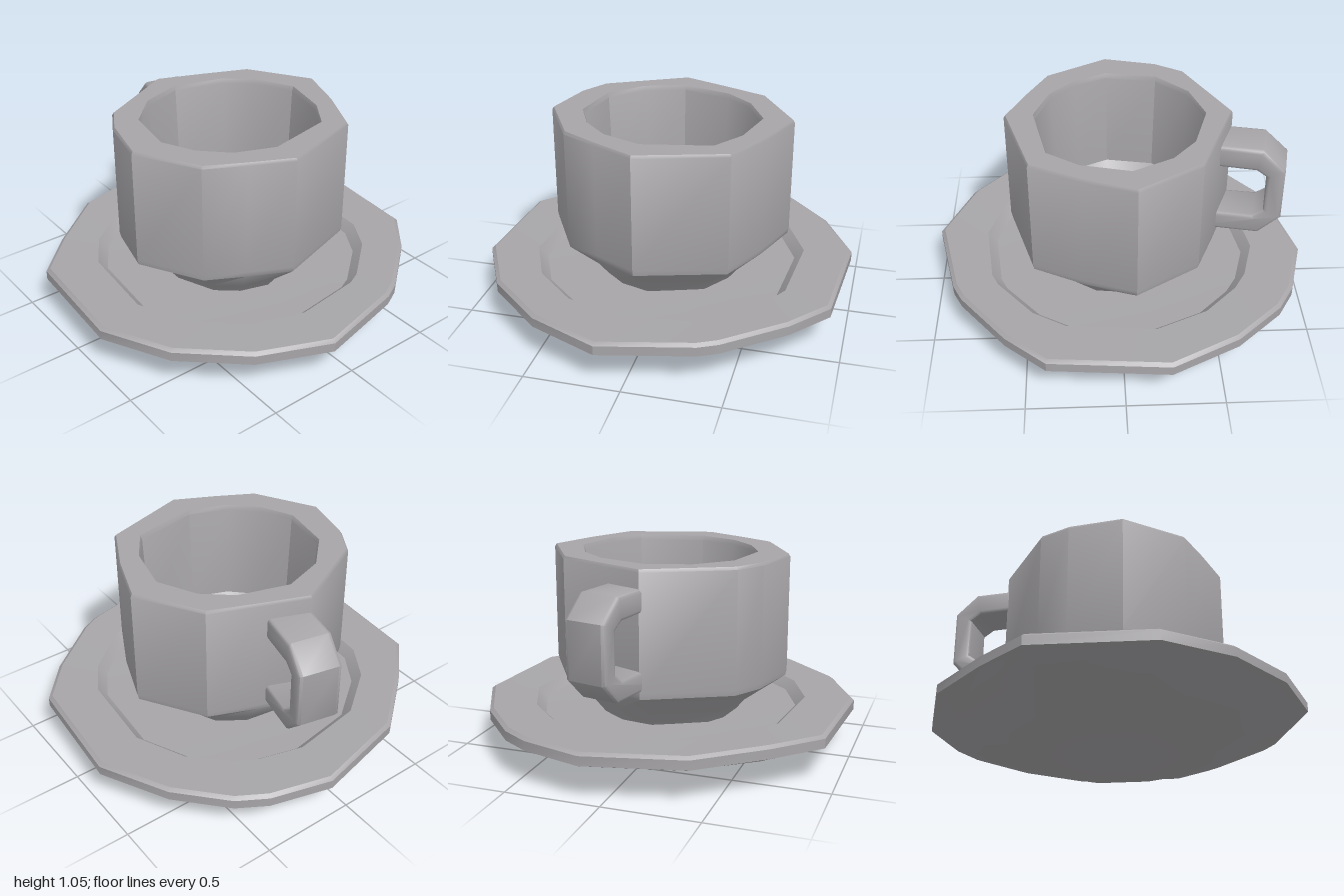
import * as THREE from 'three';
import { toCreasedNormals } from 'three/addons/utils/BufferGeometryUtils.js';

// Irregular outlines as [x, z], seen from above
const SAUCER = [[0.11, -1], [0.43, -0.91], [0.58, -0.82], [0.8, -0.58], [0.98, -0.23], [0.93, 0.39],
  [0.75, 0.6], [0.45, 0.84], [0.35, 0.89], [-0.13, 1], [-0.5, 0.84], [-0.8, 0.57],
  [-0.98, 0.22], [-0.94, -0.4], [-0.72, -0.62], [-0.4, -0.88]];
const CUP_OUTER = [[-0.05, -0.6], [0.2, -0.5], [0.435, -0.4], [0.64, -0.07], [0.54, 0.2], [0.41, 0.455],
  [-0.05, 0.59], [-0.27, 0.48], [-0.46, 0.375], [-0.64, 0.05], [-0.57, -0.23], [-0.48, -0.38]];
const CUP_INNER = [[-0.03, -0.45], [0.23, -0.37], [0.37, -0.25], [0.47, -0.05], [0.41, 0.2], [0.3, 0.36],
  [-0.05, 0.43], [-0.25, 0.35], [-0.38, 0.22], [-0.46, 0.05], [-0.41, -0.22], [-0.25, -0.38]];

// A ring at height y: the outline scaled, or the outline's angles on a circle
const scaled = (outline, s, y) => outline.map(([x, z]) => new THREE.Vector3(x * s, y, z * s));
const round = (outline, r, y) => outline.map(([x, z]) => {
  const k = r / Math.hypot(x, z);
  return new THREE.Vector3(x * k, y, z * k);
});

// Skin a list of rings, from the bottom centre round to the top centre
function loft(rings, crease) {
  const positions = [];
  const triangle = (a, b, c) => {
    if (a.equals(b) || b.equals(c) || a.equals(c)) return;
    for (const p of [a, b, c]) positions.push(p.x, p.y, p.z);
  };
  for (let j = 0; j < rings.length - 1; j++) {
    const a = rings[j], b = rings[j + 1];
    for (let i = 0; i < a.length; i++) {
      const n = (i + 1) % a.length;
      triangle(a[i], b[i], a[n]);
      triangle(a[n], b[i], b[n]);
    }
  }
  const geometry = new THREE.BufferGeometry();
  geometry.setAttribute('position', new THREE.Float32BufferAttribute(positions, 3));
  return toCreasedNormals(geometry, crease);
}

export function createModel() {
  const model = new THREE.Group();
  model.name = 'cupAndSaucer';
  const clay = new THREE.MeshStandardMaterial({ color: 0xa7a5a8 });
  clay.name = 'grey clay';

  const add = (name, geometry) => {
    const mesh = new THREE.Mesh(geometry, clay);
    mesh.name = name;
    model.add(mesh);
    return mesh;
  };

  // Saucer: flat foot, sloped underside, thick rim and a shallow well
  add('saucer', loft([
    scaled(SAUCER, 0, 0),
    round(SAUCER, 0.46, 0),
    round(SAUCER, 0.87, 0.15),
    scaled(SAUCER, 0.94, 0.165),
    scaled(SAUCER, 1, 0.19),
    scaled(SAUCER, 1, 0.24),
    scaled(SAUCER, 0.98, 0.255),
    round(SAUCER, 0.74, 0.25),
    round(SAUCER, 0.69, 0.2),
    scaled(SAUCER, 0, 0.18),
  ], 0.6));

  // Cup: tapered base, faceted wall, broad lip and hollow inside
  add('cup', loft([
    scaled(CUP_OUTER, 0, 0.17),
    round(CUP_OUTER, 0.36, 0.17),
    round(CUP_OUTER, 0.43, 0.26),
    scaled(CUP_OUTER, 0.99, 0.4),
    scaled(CUP_OUTER, 1, 0.43),
    scaled(CUP_OUTER, 1, 1.04),
    scaled(CUP_OUTER, 0.985, 1.055),
    scaled(CUP_INNER, 1.02, 1.055),
    scaled(CUP_INNER, 1, 1.03),
    scaled(CUP_INNER, 0.95, 0.5),
    scaled(CUP_INNER, 0.78, 0.41),
    scaled(CUP_INNER, 0, 0.38),
  ], 0.6));

  // Handle: chamfered bracket swung slightly to one side at the back
  const bevel = 0.02, width = 0.23;
  const bracket = [[-0.08, 0.94], [0.18, 0.94], [0.29, 0.84], [0.29, 0.56], [0.19, 0.46], [-0.08, 0.46],
    [-0.08, 0.525], [0.17, 0.53], [0.235, 0.58], [0.235, 0.81], [0.17, 0.855], [-0.08, 0.86]];
  const shape = new THREE.Shape(bracket.map(([u, y]) => new THREE.Vector2(u, y)));
  const handleGeometry = new THREE.ExtrudeGeometry(shape, {
    depth: width - 2 * bevel, bevelEnabled: true, bevelSize: bevel, bevelThickness: bevel, bevelSegments: 2,
  });
  handleGeometry.translate(0, 0, bevel - width / 2);
  const handle = add('handle', toCreasedNormals(handleGeometry, 0.8));
  handle.position.set(0.05, 0, -0.57);
  handle.rotation.y = 1.355;

  return model;
}
